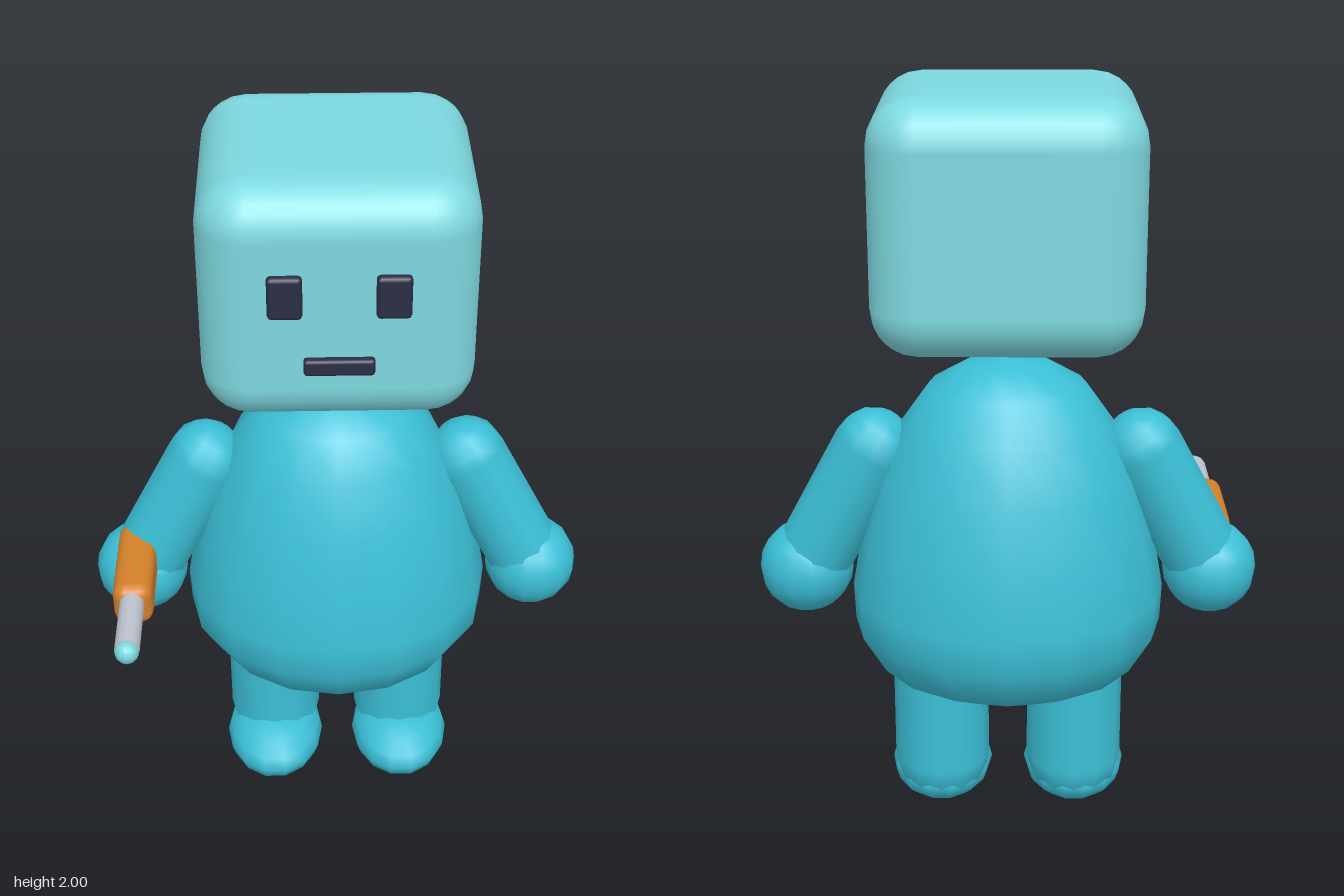
import * as THREE from 'three';
import { RoundedBoxGeometry } from 'three/addons/geometries/RoundedBoxGeometry.js';

const material = (name, color) => {
  const m = new THREE.MeshStandardMaterial({ color });
  m.name = name;
  return m;
};

export function createModel() {
  const teal = material('teal', 0x3bbfd6);
  const paleTeal = material('paleTeal', 0x7dd8df);
  const navy = material('navy', 0x2b2d45);
  const orange = material('orange', 0xd4802a);
  const silver = material('silver', 0xbfc3ce);
  const midZ = -0.085;

  const model = new THREE.Group();
  model.name = 'boxHeadedFigure';
  const add = (name, geometry, mat, x, y, z) => {
    const mesh = new THREE.Mesh(geometry, mat);
    mesh.name = name;
    mesh.position.set(x, y, z);
    model.add(mesh);
    return mesh;
  };
  // Capsule whose end-sphere centres lie at a and b
  const limb = (name, a, b, radius) => {
    const dir = b.clone().sub(a);
    const mid = a.clone().add(b).multiplyScalar(0.5);
    const mesh = add(name, new THREE.CapsuleGeometry(radius, dir.length(), 4, 12), teal, mid.x, mid.y, mid.z);
    mesh.quaternion.setFromUnitVectors(new THREE.Vector3(0, -1, 0), dir.normalize());
    return mesh;
  };

  // Egg-shaped body, slightly flattened front to back
  const profile = [
    [0, 0.36], [0.2, 0.38], [0.35, 0.455], [0.412, 0.56], [0.416, 0.66], [0.388, 0.82],
    [0.34, 0.99], [0.277, 1.13], [0.206, 1.23], [0.11, 1.287], [0, 1.305],
  ].map(([r, y]) => new THREE.Vector2(r, y));
  add('body', new THREE.LatheGeometry(profile, 16), teal, 0, 0, midZ).scale.z = 0.865;

  // Floating head with its face
  add('head', new RoundedBoxGeometry(0.67, 0.632, 0.637, 3, 0.12), paleTeal, 0, 1.684, -0.083);
  add('mouth', new RoundedBoxGeometry(0.17, 0.043, 0.04, 1, 0.008), navy, 0, 1.558, 0.236);

  for (const [side, s] of [['left', 1], ['right', -1]]) {
    add(side + 'Eye', new RoundedBoxGeometry(0.083, 0.11, 0.04, 1, 0.01), navy, s * 0.127, 1.747, 0.236);

    // Arms
    limb(side + 'Arm', new THREE.Vector3(s * 0.353, 1.055, midZ), new THREE.Vector3(s * 0.535, 0.715, -0.062), 0.105);
    add(side + 'Hand', new THREE.SphereGeometry(0.126, 14, 10), teal, s * 0.543, 0.705, -0.06);

    // Legs
    limb(side + 'Leg', new THREE.Vector3(s * 0.183, 0.5, midZ), new THREE.Vector3(s * 0.183, 0.145, midZ), 0.13);
    const foot = add(side + 'Foot', new THREE.SphereGeometry(1, 14, 8), teal, s * 0.185, 0.092, -0.02);
    foot.scale.set(0.14, 0.092, 0.185);
  }

  // Tool held in the right hand
  const toolX = -0.546;
  add('toolGrip', new RoundedBoxGeometry(0.105, 0.125, 0.3, 2, 0.035), orange, toolX, 0.79, 0.08);
  add('toolRod', new THREE.CylinderGeometry(0.033, 0.033, 0.2, 12), silver, toolX, 0.808, 0.305).rotation.x = Math.PI / 2;
  add('toolTip', new THREE.SphereGeometry(0.032, 12, 8), paleTeal, toolX, 0.808, 0.411);

  return model;
}
